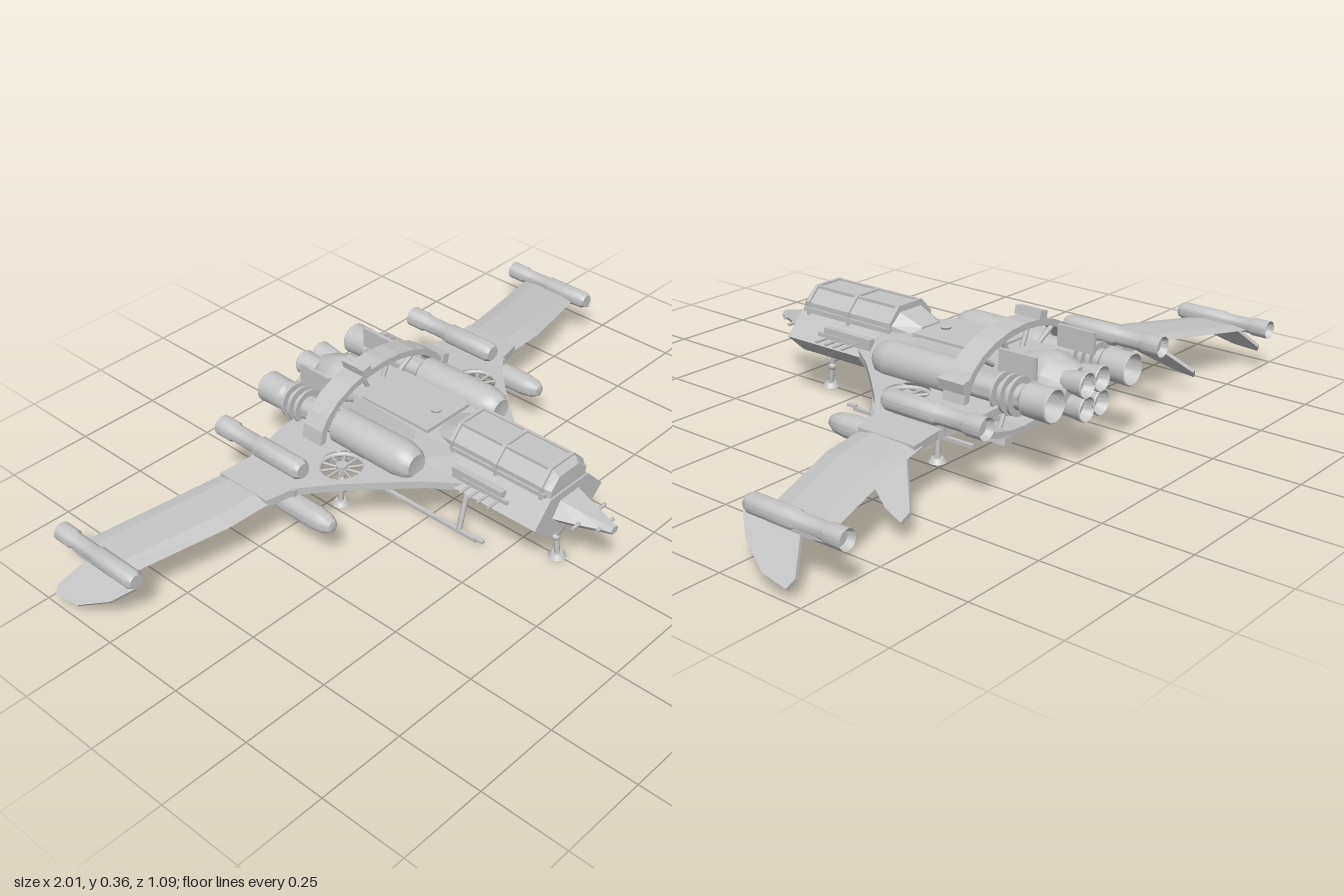
import * as THREE from 'three';
import { toCreasedNormals } from 'three/addons/utils/BufferGeometryUtils.js';

const V = (x, y, z) => new THREE.Vector3(x, y, z);

export function createModel() {
  const model = new THREE.Group();
  model.name = 'starfighter';
  const grey = new THREE.MeshStandardMaterial({ color: 0xc4c4c4 });
  grey.name = 'hullGrey';

  function add(name, geo) {
    const m = new THREE.Mesh(geo, grey);
    m.name = name;
    model.add(m);
  }
  // adds a part and its mirror image
  function pair(name, geo) {
    add(name + 'Left', geo);
    const g = geo.index ? geo.toNonIndexed() : geo.clone();
    g.scale(-1, 1, 1);
    for (const key of ['position', 'normal']) {
      const a = g.attributes[key], p = V(), q = V();
      for (let i = 0; i < a.count; i += 3) {
        p.fromBufferAttribute(a, i + 1);
        q.fromBufferAttribute(a, i + 2);
        a.setXYZ(i + 1, q.x, q.y, q.z);
        a.setXYZ(i + 2, p.x, p.y, p.z);
      }
    }
    add(name + 'Right', g);
  }
  const box = (w, h, d, x, y, z) => new THREE.BoxGeometry(w, h, d).translate(x, y, z);
  // turned body along z, profile [radius, z] from back to front
  function turned(profile, x, y, sides = 20) {
    const g = new THREE.LatheGeometry(profile.map(([r, z]) => new THREE.Vector2(r, z)), sides);
    return toCreasedNormals(g.rotateX(Math.PI / 2), 0.6).translate(x, y, 0);
  }
  // round rod between two points
  function rod(a, b, r, sides = 8) {
    const d = b.clone().sub(a);
    const g = new THREE.CylinderGeometry(r, r, d.length(), sides);
    g.applyQuaternion(new THREE.Quaternion().setFromUnitVectors(V(0, 1, 0), d.normalize()));
    return g.translate((a.x + b.x) / 2, (a.y + b.y) / 2, (a.z + b.z) / 2);
  }
  // faceted skin over rings of points, ends closed
  function loft(rings) {
    const tris = [], n = rings[0].length;
    for (let k = 0; k + 1 < rings.length; k++) for (let i = 0; i < n; i++) {
      const j = (i + 1) % n, a = rings[k], b = rings[k + 1];
      tris.push([a[i], a[j], b[j]], [a[i], b[j], b[i]]);
    }
    const first = rings[0], last = rings[rings.length - 1];
    for (let i = 1; i + 1 < n; i++) {
      tris.push([first[0], first[i + 1], first[i]], [last[0], last[i], last[i + 1]]);
    }
    let volume = 0;
    for (const [a, b, c] of tris) volume += a.dot(b.clone().cross(c));
    const pts = tris.flatMap(([a, b, c]) => (volume > 0 ? [a, b, c] : [a, c, b]));
    const g = new THREE.BufferGeometry().setFromPoints(pts);
    g.computeVertexNormals();
    return g;
  }
  // flat plate from an [x, z] outline, centred on y = 0
  function slab(outline, t, hole) {
    const s = new THREE.Shape(outline.map(p => new THREE.Vector2(...p)));
    if (hole) s.holes.push(new THREE.Path().absarc(hole[0], hole[1], hole[2], 0, Math.PI * 2, true));
    const g = new THREE.ExtrudeGeometry(s, { depth: t, bevelEnabled: false, curveSegments: 16 });
    return g.rotateX(Math.PI / 2).translate(0, t / 2, 0);
  }

  // fuselage: six-sided hull with a tapered tail
  const hex = (z, w, lo, mid, hi, f = 0.55) => [[w, mid], [w * f, hi], [-w * f, hi],
    [-w, mid], [-w * f, lo], [w * f, lo]].map(([x, y]) => V(x, y, z));
  add('fuselage', loft([hex(0.395, 0.138, 0.125, 0.18, 0.245), hex(0.1, 0.138, 0.125, 0.18, 0.247),
    hex(-0.05, 0.13, 0.115, 0.18, 0.26, 0.75), hex(-0.36, 0.11, 0.12, 0.18, 0.262, 0.75),
    hex(-0.42, 0.075, 0.14, 0.19, 0.25)]));
  add('nose', loft([hex(0.395, 0.068, 0.15, 0.18, 0.222), hex(0.45, 0.048, 0.157, 0.18, 0.208),
    hex(0.52, 0.02, 0.168, 0.182, 0.196), hex(0.542, 0.015, 0.172, 0.182, 0.192)]));
  [[0.46, 0.07], [0.512, 0.035]].forEach(([z, w]) => add('noseProbe', rod(V(-w, 0.183, z), V(w, 0.183, z), 0.005)));

  // canopy: faceted dome with ribs and a sloped rear fairing
  const arch = (z, w, h, base = 0.235) => [[1, 0], [1, 0.5], [0.55, 1], [-0.55, 1], [-1, 0.5], [-1, 0]]
    .map(([x, y]) => V(x * w, base + y * h, z));
  add('canopy', loft([arch(0.39, 0.07, 0.06), arch(0.375, 0.08, 0.074), arch(0.06, 0.08, 0.074)]));
  [0.365, 0.215, 0.065].forEach(z => add('canopyRib',
    loft([arch(z - 0.005, 0.085, 0.08), arch(z + 0.005, 0.085, 0.08)])));
  for (const x of [0.044, -0.044]) add('canopyRail', box(0.008, 0.008, 0.3, x, 0.31, 0.215));
  pair('canopySill', box(0.012, 0.012, 0.32, 0.08, 0.252, 0.22));
  add('canopyFairing', loft([arch(0.06, 0.078, 0.062), arch(-0.01, 0.06, 0.032)]));
  add('deckPlate', box(0.17, 0.01, 0.24, 0, 0.263, -0.14));
  add('deckDome', new THREE.CylinderGeometry(0.016, 0.01, 0.014, 12).translate(0, 0.267, -0.065));

  // side fairings with short lateral spikes
  pair('sideFairing', box(0.02, 0.035, 0.17, 0.112, 0.212, 0.185));
  pair('sidePanel', box(0.008, 0.012, 0.15, 0.121, 0.207, 0.215));
  [0.165, 0.195, 0.225, 0.26].forEach(z => pair('sideSpike', rod(V(0.1, 0.2, z), V(0.165, 0.2, z), 0.004, 6)));

  // wings: inner panel with fan opening, drooping outer panel
  const fan = [0.27, -0.16, 0.062];
  const inner = slab([[0.09, 0.2], [0.125, 0.14], [0.18, 0.06], [0.26, -0.03], [0.34, -0.115], [0.42, -0.185],
    [0.5, -0.205], [0.5, -0.385], [0.4, -0.375], [0.25, -0.405], [0.09, -0.405]], 0.022, fan);
  const slope = x => 0.176 + (0.3 - x) * 0.05;
  const pos = inner.attributes.position;
  for (let i = 0; i < pos.count; i++) pos.setY(i, pos.getY(i) + slope(pos.getX(i)));
  inner.computeVertexNormals();
  pair('innerWing', inner);
  const foil = (x, y, zf, zb, t) => [[zf, 0], [zf * 0.75 + zb * 0.25, t], [zb * 0.8 + zf * 0.2, t * 0.8],
    [zb, 0], [zb * 0.8 + zf * 0.2, -t * 0.8], [zf * 0.75 + zb * 0.25, -t]].map(([z, h]) => V(x, y + h, z));
  pair('outerWing', loft([foil(0.47, 0.166, -0.2, -0.385, 0.012), foil(0.62, 0.155, -0.215, -0.415, 0.011),
    foil(0.92, 0.122, -0.3, -0.49, 0.008)]));

  // lift fans
  const rim = new THREE.TorusGeometry(fan[2], 0.007, 8, 24).rotateX(Math.PI / 2);
  pair('fanRim', rim.translate(fan[0], slope(0.27), fan[1]));
  pair('fanHub', new THREE.CylinderGeometry(0.016, 0.016, 0.024, 12).translate(fan[0], slope(0.27), fan[1]));
  for (let i = 0; i < 5; i++) {
    const a = i * Math.PI / 5, c = Math.cos(a) * 0.06, s = Math.sin(a) * 0.06, y = slope(0.27);
    pair('fanBlade', rod(V(fan[0] - c, y, fan[1] - s), V(fan[0] + c, y, fan[1] + s), 0.004, 6));
  }

  // downward fins under the wings and at the tips
  const fin = (outline, x, y) => slab(outline, 0.01).rotateZ(-0.79).translate(x, y, 0);
  pair('tipFin', fin([[0, -0.24], [0.06, -0.29], [0.115, -0.38], [0.127, -0.46], [0.1, -0.47], [0, -0.42]], 0.91, 0.12));
  pair('innerFin', fin([[0, -0.22], [0.08, -0.31], [0.14, -0.4], [0.16, -0.46], [0.13, -0.47], [0, -0.38]], 0.52, 0.163));

  // pods on the wings: gun pods above, stores below, tip pods
  const pod = (zb, zf, r) => [[0, zb + 0.02], [r * 0.8, zb + 0.02], [r, zb], [r, zb + 0.05], [r * 0.85, zb + 0.06],
    [r * 0.85, zb + 0.14], [r, zb + 0.15], [r, zf - 0.015], [r * 0.75, zf], [0, zf]];
  pair('upperPod', turned(pod(-0.505, -0.19, 0.029), 0.38, 0.213));
  pair('upperPylon', box(0.016, 0.04, 0.16, 0.38, 0.185, -0.3));
  pair('tipPod', turned(pod(-0.545, -0.245, 0.026), 0.9, 0.136));
  pair('lowerStore', turned([[0, -0.3], [0.015, -0.295], [0.027, -0.265], [0.032, -0.22], [0.032, -0.1],
    [0.027, -0.065], [0.016, -0.045], [0, -0.04]], 0.42, 0.128));
  pair('lowerPylon', box(0.014, 0.04, 0.12, 0.42, 0.158, -0.24));

  // twin engines with cooling rings and flared nozzles
  pair('engine', turned([[0, -0.5], [0.034, -0.5], [0.042, -0.548], [0.045, -0.545], [0.043, -0.47], [0.034, -0.46],
    [0.034, -0.27], [0.05, -0.255], [0.052, -0.03], [0.044, 0.005], [0.032, 0.02], [0, 0.015]], 0.17, 0.218, 24));
  [-0.39, -0.415, -0.44].forEach(z => pair('coolingRing',
    turned([[0, z - 0.004], [0.052, z - 0.004], [0.052, z + 0.004], [0, z + 0.004]], 0.17, 0.218)));
  pair('engineMount', box(0.08, 0.05, 0.32, 0.13, 0.185, -0.2));
  pair('enginePlate', box(0.01, 0.06, 0.115, 0.125, 0.28, -0.4));

  // central engine with four exhausts
  add('mainEngine', turned([[0, -0.5], [0.06, -0.5], [0.068, -0.475], [0.085, -0.43], [0.085, -0.4],
    [0.07, -0.34], [0, -0.34]], 0, 0.2, 12));
  for (let i = 0; i < 4; i++) {
    const a = Math.PI * (i / 2 + 0.25);
    add('exhaust', turned([[0, -0.52], [0.024, -0.52], [0.033, -0.548], [0.035, -0.545], [0.026, -0.48], [0, -0.48]],
      Math.cos(a) * 0.045, 0.2 + Math.sin(a) * 0.045, 16));
  }

  // hoop around the rear hull, with spokes and tilted blocks
  const hoop = new THREE.Shape().absellipse(0, 0, 0.25, 0.15, 0, Math.PI * 2);
  hoop.holes.push(new THREE.Path().absellipse(0, 0, 0.23, 0.132, 0, Math.PI * 2, true));
  add('hoop', new THREE.ExtrudeGeometry(hoop, { depth: 0.07, bevelEnabled: false, curveSegments: 12 })
    .translate(0, 0.19, -0.33));
  for (let i = 0; i < 12; i++) {
    const a = (i + 0.5) * Math.PI / 6, c = Math.cos(a), s = Math.sin(a);
    add('hoopSpoke', rod(V(c * 0.08, 0.19 + s * 0.05, -0.295), V(c * 0.24, 0.19 + s * 0.141, -0.295), 0.007));
  }
  [[-0.07, 0.345, 0.2], [0.245, 0.235, 1.35], [0.07, 0.038, 0.2], [-0.245, 0.145, 1.35]].forEach(([x, y, t]) =>
    add('hoopBlock', new THREE.BoxGeometry(0.03, 0.024, 0.082).rotateZ(t).translate(x, y, -0.293)));

  // landing gear: nose leg, rear legs and skids
  const foot = (x, z) => new THREE.CylinderGeometry(0.016, 0.025, 0.012, 14).translate(x, 0.006, z);
  add('noseFoot', foot(0, 0.365));
  add('noseLeg', rod(V(0, 0.01, 0.365), V(0, 0.135, 0.35), 0.008));
  add('noseLegBrace', rod(V(0, 0.06, 0.358), V(0, 0.125, 0.39), 0.005));
  add('noseLegJoint', new THREE.SphereGeometry(0.012, 12, 8).translate(0, 0.062, 0.358));
  pair('rearFoot', foot(0.222, -0.222));
  pair('rearLeg', rod(V(0.222, 0.01, -0.222), V(0.205, 0.18, -0.215), 0.008));
  pair('rearLegJoint', new THREE.SphereGeometry(0.012, 12, 8).translate(0.217, 0.08, -0.22));
  pair('skid', box(0.012, 0.01, 0.42, 0.105, 0.01, -0.035));
  pair('skidTip', box(0.014, 0.007, 0.03, 0.105, 0.017, 0.183));
  [0.11, -0.155].forEach(z => pair('skidPost', rod(V(0.105, 0.01, z), V(0.068, 0.135, z), 0.008)));
  return model;
}
